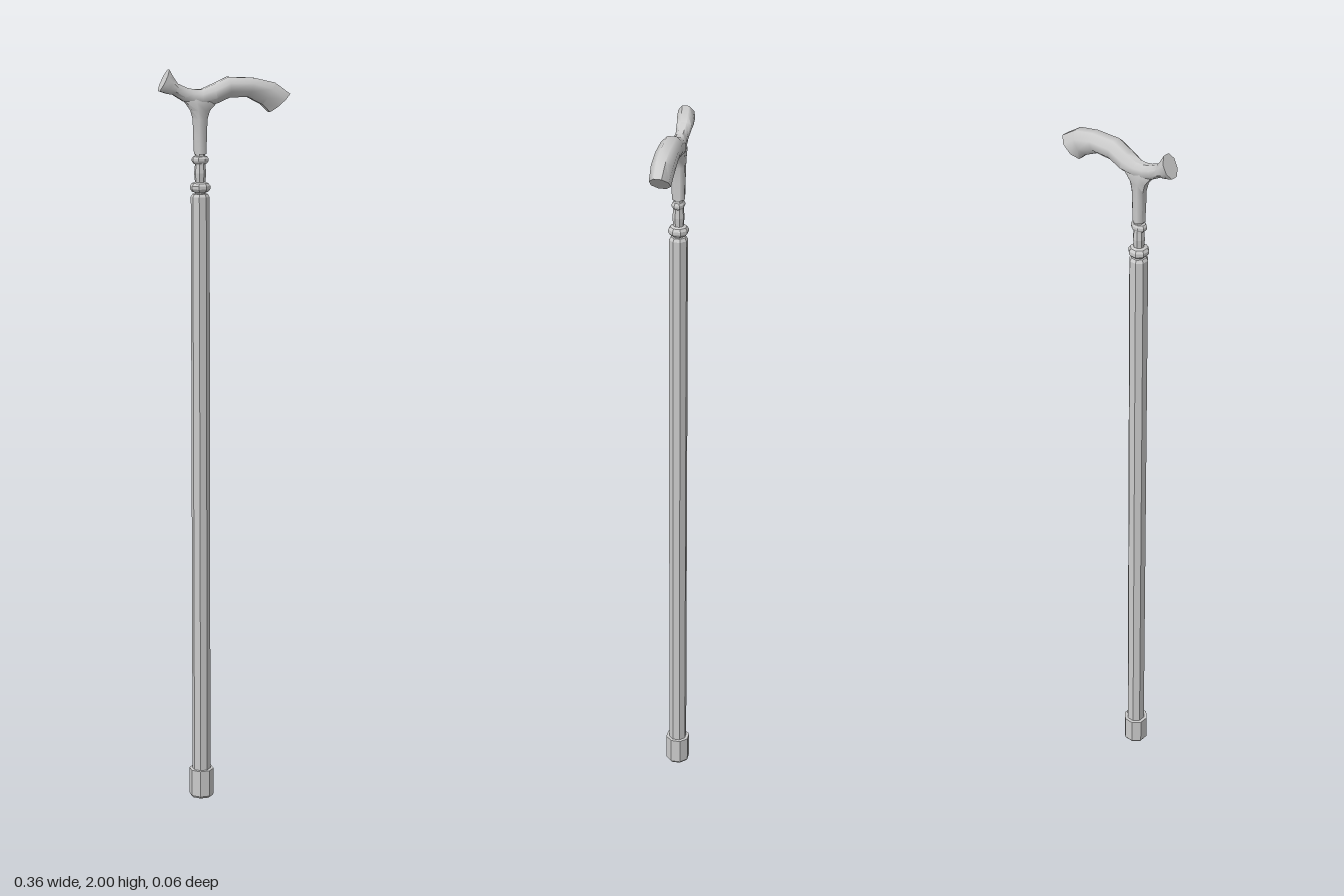
import * as THREE from 'three';
import { toCreasedNormals } from 'three/addons/utils/BufferGeometryUtils.js';

const SIDES = 8;
const AXIS_X = -0.068; // centre line of the shaft

// Octagonal loft. Each section: [ax, ay, bx, by, halfDepth], a and b being
// opposite edge midpoints in the xy plane.
function loft(sections) {
  const k = 1 / Math.cos(Math.PI / SIDES);
  const rings = sections.map(([ax, ay, bx, by, d]) => {
    const c = new THREE.Vector3((ax + bx) / 2, (ay + by) / 2, 0);
    const h = new THREE.Vector3(ax, ay, 0).sub(c);
    const points = [];
    for (let j = 0; j < SIDES; j++) {
      const t = ((j + 0.5) / SIDES) * Math.PI * 2;
      const p = c.clone().addScaledVector(h, k * Math.cos(t));
      p.z = k * d * Math.sin(t);
      points.push(p);
    }
    return { c, points };
  });
  const pos = [];
  const tri = (...ps) => ps.forEach((p) => pos.push(p.x, p.y, p.z));
  const first = rings[0], last = rings[rings.length - 1];
  for (let j = 0; j < SIDES; j++) {
    const n = (j + 1) % SIDES;
    for (let i = 0; i < rings.length - 1; i++) {
      const p = rings[i].points, q = rings[i + 1].points;
      tri(p[j], p[n], q[j]);
      tri(p[n], q[n], q[j]);
    }
    tri(first.c, first.points[n], first.points[j]);
    tri(last.c, last.points[j], last.points[n]);
  }
  const g = new THREE.BufferGeometry();
  g.setAttribute('position', new THREE.Float32BufferAttribute(pos, 3));
  return toCreasedNormals(g, THREE.MathUtils.degToRad(50));
}

// Octagonal turned part, profile given bottom to top as [radius, y]
function turned(profile) {
  const pts = profile.map(([r, y]) => new THREE.Vector2(r, y));
  return new THREE.LatheGeometry(pts, SIDES, Math.PI / SIDES);
}

export function createModel() {
  const group = new THREE.Group();
  const flat = new THREE.MeshStandardMaterial({ color: 0xcccccc, flatShading: true });
  const smooth = new THREE.MeshStandardMaterial({ color: 0xcccccc });

  const add = (name, geometry, material, x = 0) => {
    const mesh = new THREE.Mesh(geometry, material);
    mesh.name = name;
    mesh.position.x = x;
    group.add(mesh);
    return mesh;
  };

  // Foot and shaft
  add('ferrule', turned([
    [0, 0], [0.03, 0], [0.034, 0.006], [0.034, 0.08], [0, 0.08],
  ]), flat, AXIS_X);
  add('shaft', turned([
    [0, 0.07], [0.025, 0.07], [0.025, 1.668], [0.02, 1.676], [0, 1.676],
  ]), flat, AXIS_X);

  // Collar with its two rings
  add('collarStem', turned([
    [0.014, 1.67], [0.014, 1.71], [0.016, 1.73], [0.014, 1.75], [0.013, 1.79],
  ]), flat, AXIS_X);
  add('lowerRing', turned([
    [0.014, 1.679], [0.022, 1.682], [0.027, 1.689], [0.027, 1.697], [0.022, 1.704], [0.014, 1.707],
  ]), flat, AXIS_X);
  const upperRing = add('upperRing', turned([
    [0.012, 1.753], [0.019, 1.756], [0.023, 1.762], [0.023, 1.768], [0.019, 1.774], [0.012, 1.777],
  ]), flat, AXIS_X);
  upperRing.scale.z = 0.75;

  // Neck flaring into the handle
  add('neck', loft([
    [-0.083, 1.78, -0.053, 1.78, 0.016],
    [-0.085, 1.83, -0.051, 1.83, 0.017],
    [-0.086, 1.87, -0.05, 1.87, 0.018],
    [-0.092, 1.893, -0.043, 1.893, 0.019],
    [-0.108, 1.915, -0.022, 1.915, 0.02],
    [-0.112, 1.93, -0.018, 1.93, 0.016],
  ]), smooth);

  // Handle from the flared nose to the down-curved grip
  add('handle', loft([
    [-0.153, 2.0, -0.18, 1.945, 0.021],
    [-0.142, 1.981, -0.158, 1.938, 0.021],
    [-0.13, 1.964, -0.142, 1.935, 0.019],
    [-0.105, 1.953, -0.114, 1.918, 0.016],
    [-0.088, 1.949, -0.09, 1.908, 0.017],
    [-0.065, 1.948, -0.065, 1.904, 0.02],
    [-0.035, 1.96, -0.025, 1.911, 0.027],
    [0.008, 1.979, 0.01, 1.926, 0.028],
    [0.078, 1.976, 0.06, 1.927, 0.028],
    [0.135, 1.963, 0.1, 1.907, 0.028],
    [0.178, 1.933, 0.122, 1.886, 0.025],
  ]), smooth);

  return group;
}
